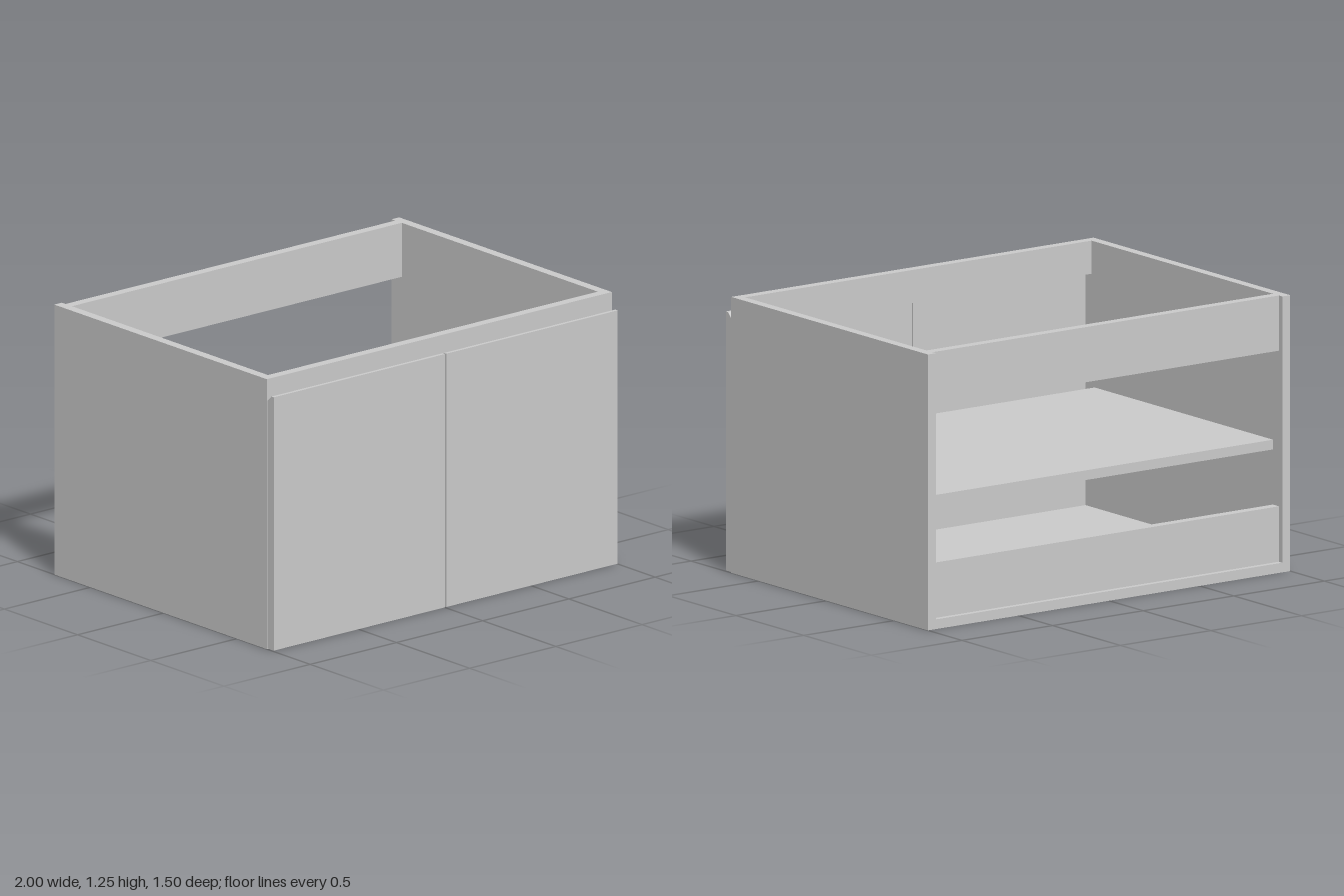
import * as THREE from 'three';

const W = 2, H = 1.25, T = 0.044;      // overall width, height, board thickness
const BACK = -0.748, FACE = 0.704, FRONT = 0.748;
const INNER = W - 2 * T;               // clear width between the sides

export function createModel() {
  const model = new THREE.Group();
  model.name = 'vanityCabinet';
  const material = new THREE.MeshStandardMaterial({ color: 0xcccccc });

  // Board given by its extents on each axis
  function board(name, x0, x1, y0, y1, z0, z1) {
    const mesh = new THREE.Mesh(new THREE.BoxGeometry(x1 - x0, y1 - y0, z1 - z0), material);
    mesh.position.set((x0 + x1) / 2, (y0 + y1) / 2, (z0 + z1) / 2);
    mesh.name = name;
    model.add(mesh);
  }
  const across = (name, y0, y1, z0, z1) => board(name, -INNER / 2, INNER / 2, y0, y1, z0, z1);

  // Carcass
  board('leftSide', W / 2 - T, W / 2, 0, H, BACK, FACE);
  board('rightSide', -W / 2, -W / 2 + T, 0, H, BACK, FACE);
  across('bottomPanel', 0, T, BACK, FACE);
  across('shelf', 0.545, 0.589, -0.68, 0.637);

  // Rails, with the back pair set in from the rear edge
  across('frontRail', 1.1, H, FACE - T, FACE);
  across('upperBackRail', 1.0, H, -0.723, -0.679);
  across('lowerBackRail', T, 0.295, -0.723, -0.679);

  // Doors with a finger bevel along the rear of the top edge
  const profile = new THREE.Shape([
    [FACE, 0.003], [FRONT, 0.003], [FRONT, 1.176], [0.732, 1.176], [FACE, 1.148],
  ].map(([z, y]) => new THREE.Vector2(-z, y)));
  const doorWidth = 0.994;
  const doorGeometry = new THREE.ExtrudeGeometry(profile, { depth: doorWidth, bevelEnabled: false });
  doorGeometry.rotateY(Math.PI / 2);   // depth runs along x, profile runs along z
  for (const [name, x] of [['leftDoor', 0.003], ['rightDoor', -0.003 - doorWidth]]) {
    const door = new THREE.Mesh(doorGeometry, material);
    door.position.x = x;
    door.name = name;
    model.add(door);
  }
  return model;
}
